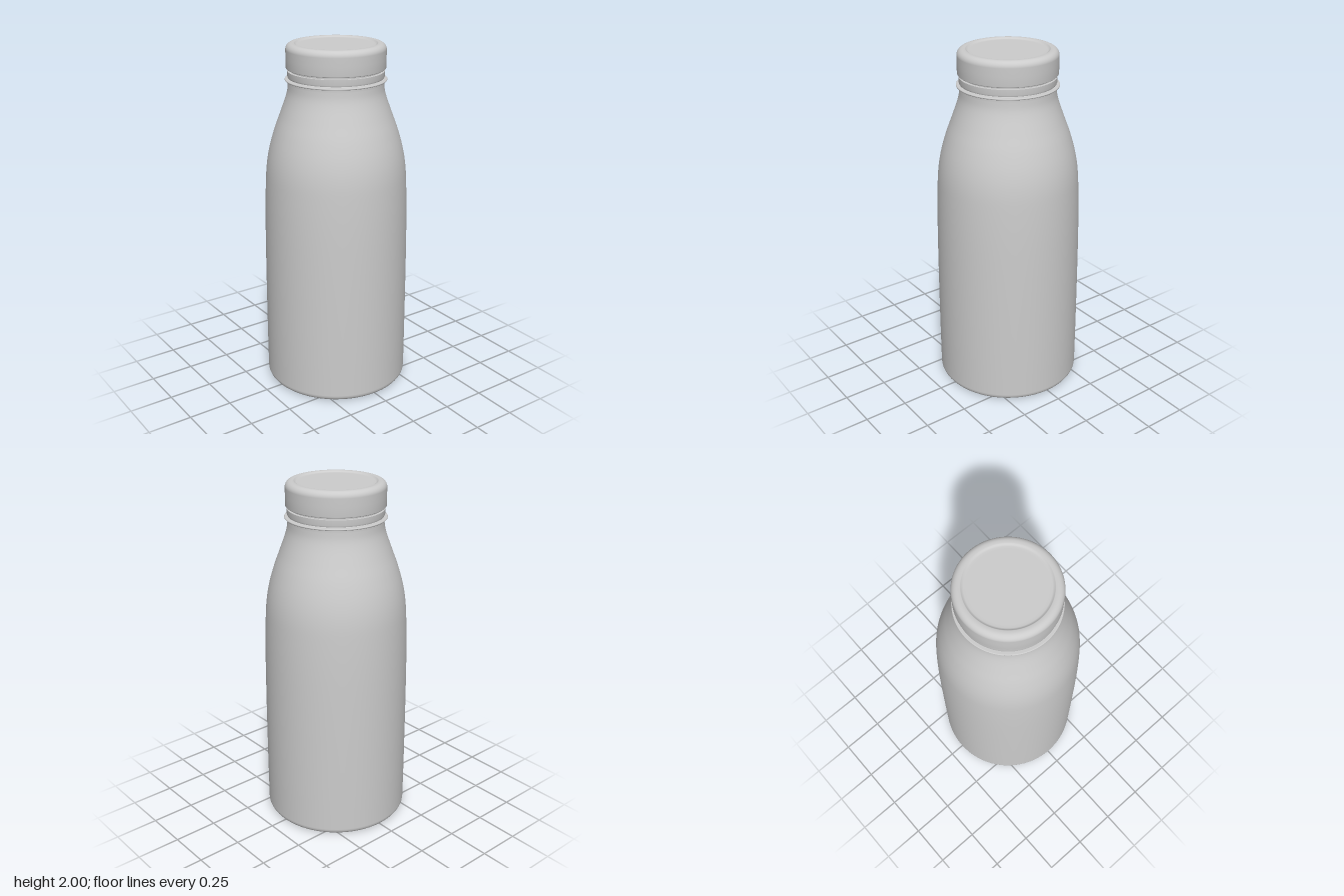
import * as THREE from 'three';

const SEGMENTS = 96;
const material = new THREE.MeshStandardMaterial({ color: 0xcccccc, side: THREE.DoubleSide });

const v = (x, y) => new THREE.Vector2(x, y);

// quarter-round corner points
function arc(cx, cy, r, from, to, steps = 6) {
  return Array.from({ length: steps + 1 }, (_, i) => {
    const a = THREE.MathUtils.degToRad(from + (to - from) * i / steps);
    return v(cx + r * Math.cos(a), cy + r * Math.sin(a));
  });
}

// doubled point: keeps a sharp edge in the lathe
const sharp = (x, y) => [v(x, y), v(x, y)];

function lathe(name, points) {
  const mesh = new THREE.Mesh(new THREE.LatheGeometry(points, SEGMENTS), material);
  mesh.name = name;
  return mesh;
}

export function createModel() {
  const group = new THREE.Group();
  group.name = 'bottle';

  // body: dished base, rounded foot, gently tapered wall, sloping shoulder, neck
  const wall = new THREE.SplineCurve([
    v(0.415, 0.035), v(0.415, 0.3), v(0.413, 0.7), v(0.409, 1.0), v(0.402, 1.2),
    v(0.393, 1.32), v(0.375, 1.42), v(0.346, 1.52), v(0.313, 1.61),
    v(0.284, 1.69), v(0.27, 1.74), v(0.265, 1.785),
  ]).getPoints(60);
  group.add(lathe('body', [
    v(0, 0.045), v(0.12, 0.043), v(0.25, 0.036), v(0.32, 0.027), v(0.345, 0.016), v(0.36, 0.004),
    v(0.372, 0),
    ...arc(0.383, 0.032, 0.032, -90, 0),
    ...wall,
    ...sharp(0.265, 1.797),
    ...sharp(0.252, 1.81), ...sharp(0.252, 1.95), v(0.23, 1.95),
  ]));

  // thin flange below the closure
  group.add(lathe('neckFlange', [
    ...sharp(0.25, 1.797), v(0.274, 1.797),
    ...arc(0.278, 1.802, 0.005, -90, 90), ...sharp(0.25, 1.807),
  ]));

  // tamper band
  group.add(lathe('tamperBand', [
    ...sharp(0.25, 1.812), ...sharp(0.265, 1.812), v(0.268, 1.82),
    ...sharp(0.268, 1.85), ...sharp(0.25, 1.85),
  ]));

  // screw cap: rounded shoulder and shallow recessed disc on top
  group.add(lathe('cap', [
    ...sharp(0.25, 1.862), ...sharp(0.272, 1.862), v(0.276, 1.867),
    v(0.276, 1.92),
    ...arc(0.241, 1.965, 0.035, 0, 90, 8),
    v(0.23, 2), v(0.226, 1.998), v(0.221, 1.993), v(0.214, 1.991), v(0.2, 1.991), v(0, 1.991),
  ]));

  return group;
}
